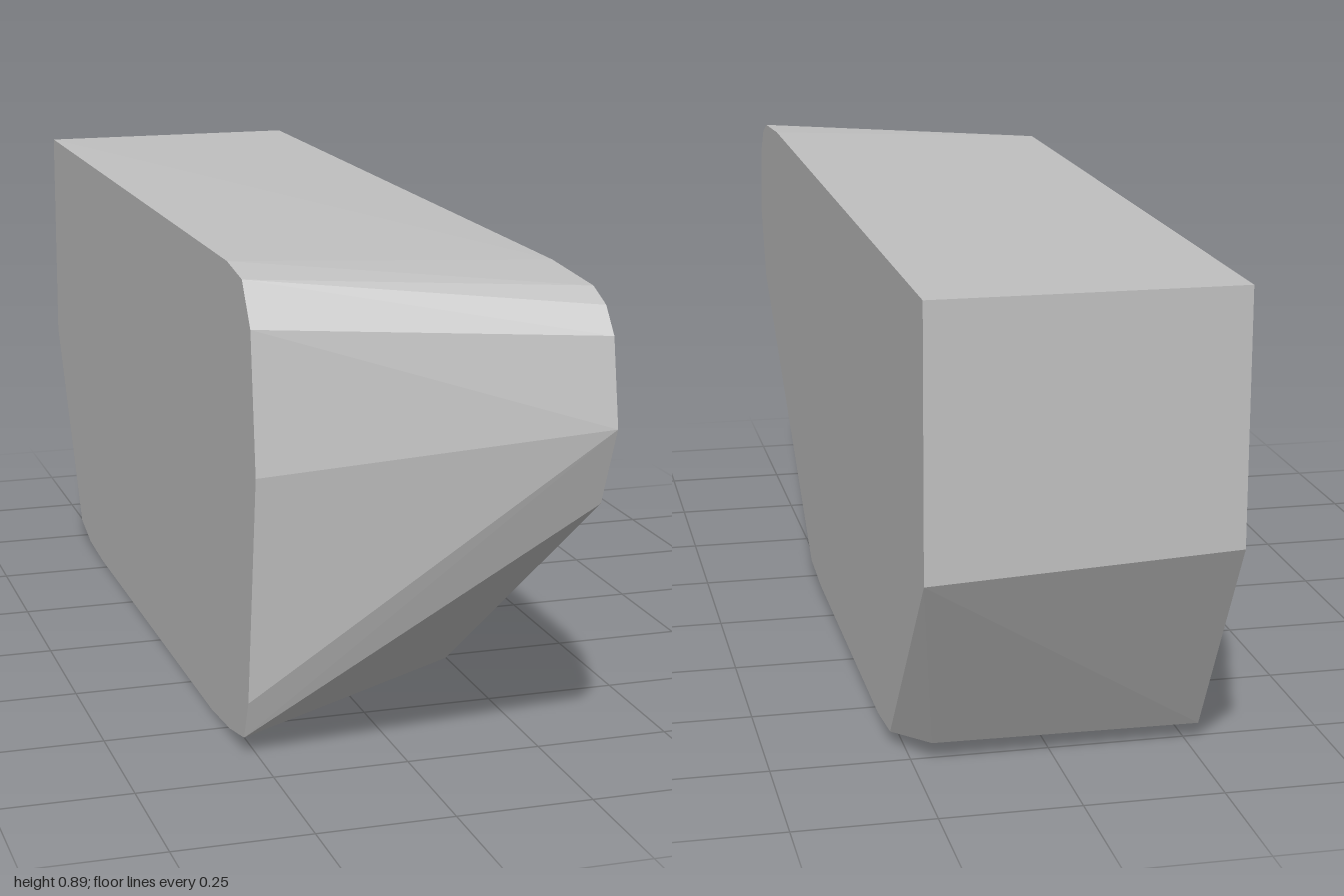
import * as THREE from 'three';
import { ConvexGeometry } from 'three/addons/geometries/ConvexGeometry.js';

const HALF_WIDTH = 0.273;

// Side outlines as [z, y] pairs; the left one reaches further forward
const leftOutline = [
  [-1, 0.888], [0.7, 0.888], [0.88, 0.877], [0.935, 0.855], [0.972, 0.81], [1, 0.657],
  [0.94, 0.512], [0.27, 0.028], [0.14, 0.015], [-0.55, 0.009], [-0.676, 0.024], [-1, 0.41],
];
const rightOutline = [
  [-1, 0.888], [0.541, 0.886], [0.639, 0.872], [0.692, 0.795], [0.722, 0.54], [0.669, 0.11],
  [0.639, 0.034], [0.54, 0.014], [0.41, 0.003], [-0.55, 0], [-0.677, 0.007], [-0.767, 0.031],
  [-1, 0.437],
];
// Lower corners set just inside the left side, as [x, y, z]
const cutCorners = [[0.213, 0.037, 0.36], [0.215, 0.036, -0.77]];

export function createModel() {
  const group = new THREE.Group();
  const grey = new THREE.MeshStandardMaterial({ color: 0xc0c0c0 });
  grey.name = 'light grey';

  const atSide = (outline, x) => outline.map(([z, y]) => new THREE.Vector3(x, y, z));
  const points = [
    ...atSide(leftOutline, HALF_WIDTH),
    ...atSide(rightOutline, -HALF_WIDTH),
    ...cutCorners.map((p) => new THREE.Vector3(...p)),
  ];

  // Faceted solid spanning both outlines
  const body = new THREE.Mesh(new ConvexGeometry(points), grey);
  body.name = 'body';
  group.add(body);
  return group;
}
